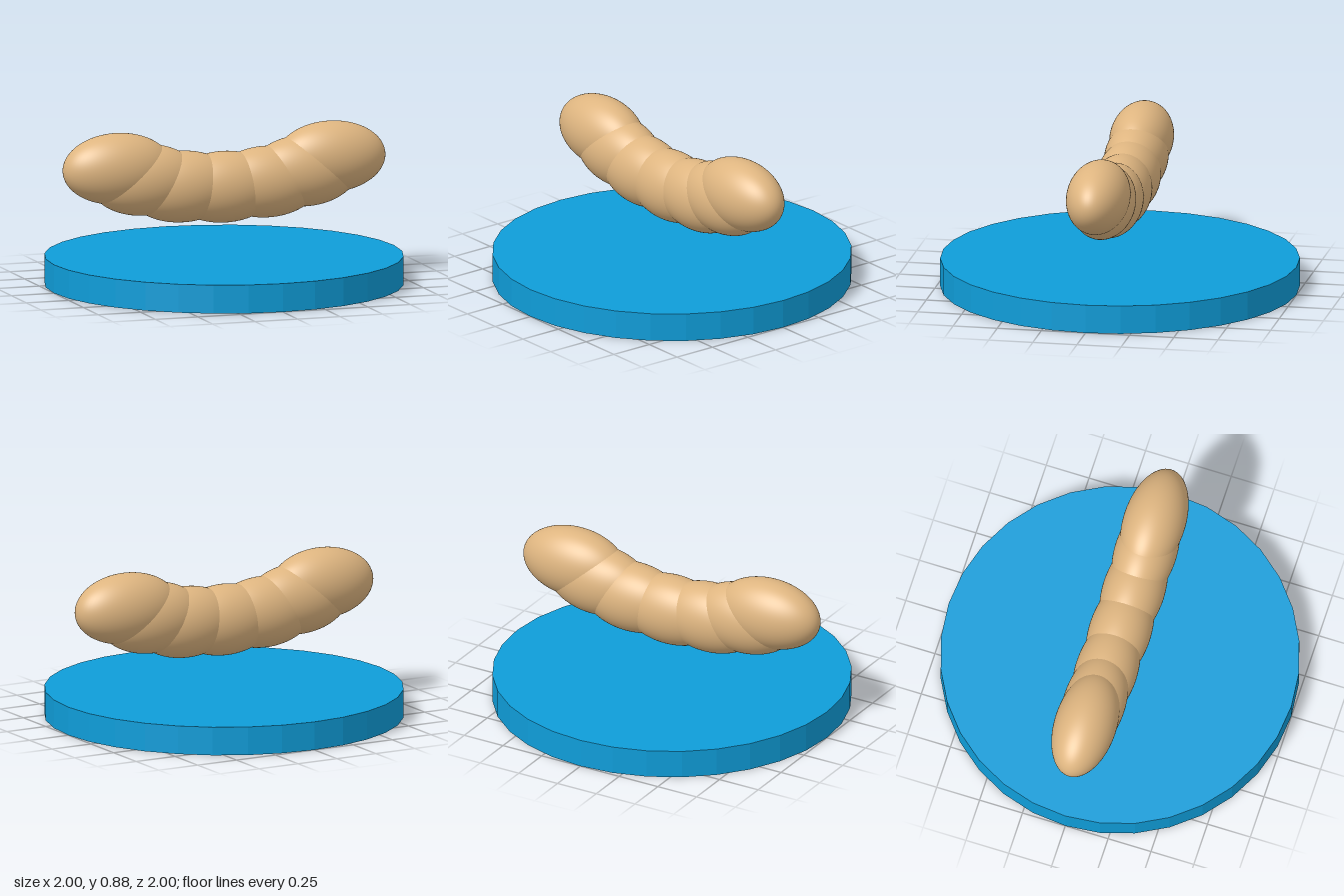
import * as THREE from 'three';

export function createModel() {
  const model = new THREE.Group();
  const tan = new THREE.MeshStandardMaterial({ color: 0xdeb580 });
  tan.name = 'tan';
  const blue = new THREE.MeshStandardMaterial({ color: 0x0f9dd9 });
  blue.name = 'blue';
  blue.flatShading = true;

  // Round base disc
  const base = new THREE.Mesh(new THREE.CylinderGeometry(1, 1, 0.16, 32), blue);
  base.name = 'base';
  base.position.y = 0.08;
  model.add(base);

  // Curved body floating above the base: overlapping equal ellipsoids
  const body = new THREE.Group();
  body.name = 'body';
  const lobe = new THREE.SphereGeometry(1, 64, 48).scale(0.317, 0.2, 0.173);
  const addLobe = (name, x, y) => {
    const mesh = new THREE.Mesh(lobe, tan);
    mesh.name = name;
    mesh.position.set(x, y, 0);
    body.add(mesh);
  };
  addLobe('middleLobe', 0, 0.545);
  for (const [side, s] of [['left', 1], ['right', -1]]) {
    addLobe(side + 'InnerLobe', s * 0.25, 0.56);
    addLobe(side + 'OuterLobe', s * 0.47, 0.61);
    addLobe(side + 'EndLobe', s * 0.627, 0.681);
  }
  model.add(body);

  return model;
}
